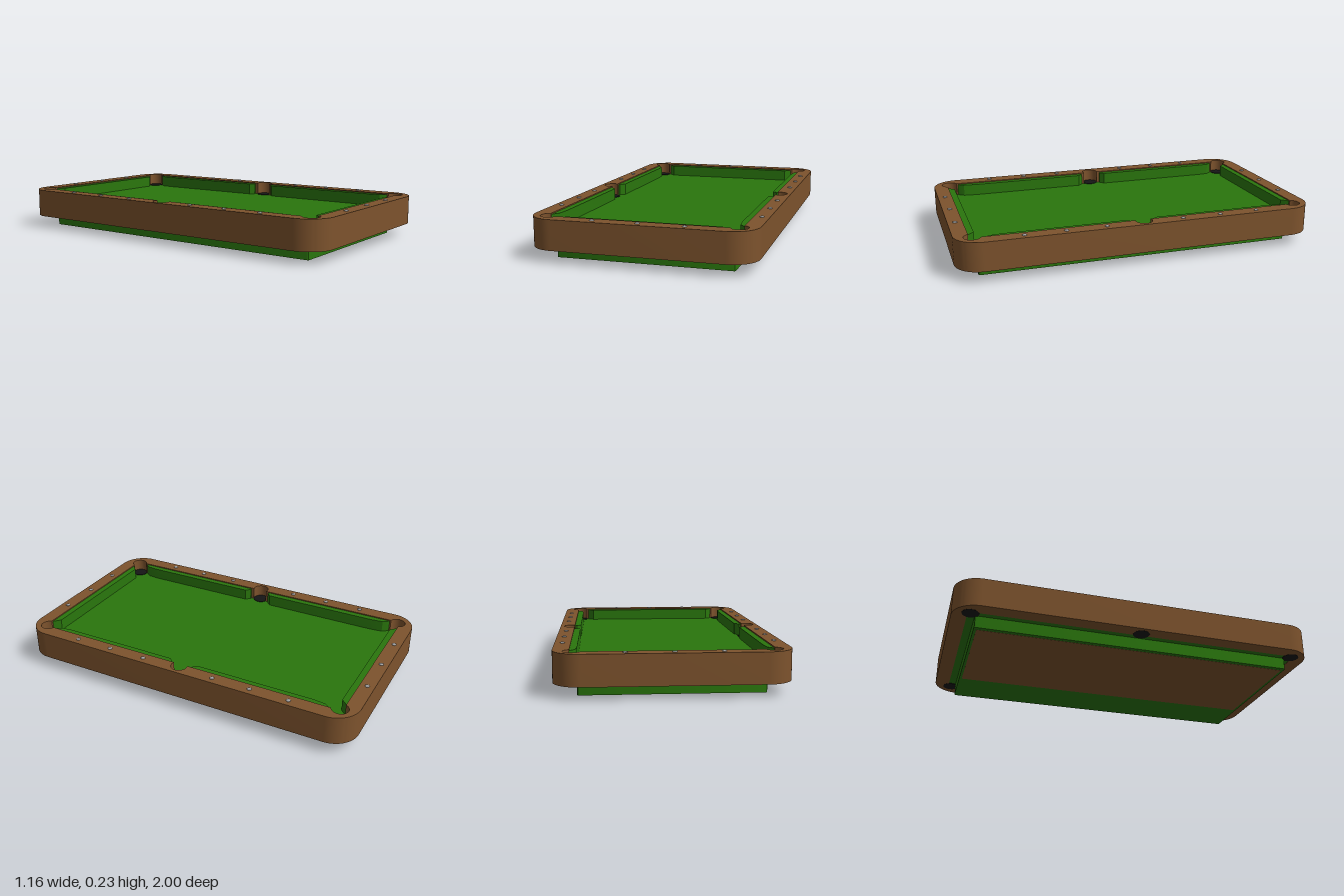
import * as THREE from 'three';
import { toCreasedNormals } from 'three/addons/utils/BufferGeometryUtils.js';

const material = (color) => new THREE.MeshStandardMaterial({ color });

export function createModel() {
  const model = new THREE.Group();
  model.name = 'poolTable';
  const wood = material(0x7d532d);
  const cloth = material(0x2a760d);
  const black = material(0x151515);
  const metal = material(0xa0a0a0);

  const add = (name, geometry, mat, x = 0, y = 0, z = 0) => {
    const mesh = new THREE.Mesh(geometry, mat);
    mesh.name = name;
    mesh.position.set(x, y, z);
    model.add(mesh);
    return mesh;
  };

  // Extrudes a plan shape (x, -z) upward between two heights
  const slab = (name, shape, mat, y0, y1) => {
    const geometry = new THREE.ExtrudeGeometry(shape, { depth: y1 - y0, bevelEnabled: false, curveSegments: 10 });
    geometry.rotateX(-Math.PI / 2);
    return add(name, toCreasedNormals(geometry, 0.5), mat, 0, y0, 0);
  };

  const roundedRect = (w, h, r) => {
    const s = new THREE.Shape();
    s.absarc(w - r, h - r, r, 0, Math.PI / 2);
    s.absarc(r - w, h - r, r, Math.PI / 2, Math.PI);
    s.absarc(r - w, r - h, r, Math.PI, Math.PI * 1.5);
    s.absarc(w - r, r - h, r, Math.PI * 1.5, Math.PI * 2);
    s.closePath();
    return s;
  };

  const innerX = 0.5, innerZ = 0.92, pocketR = 0.045;
  const corner = [0.487, 0.905], sideX = 0.517;

  // One quarter of the opening: half a side pocket, then the corner pocket
  const arc = (cx, cz, a0, a1, n) => Array.from({ length: n + 1 }, (_, i) => {
    const a = a0 + (a1 - a0) * i / n;
    return [cx + pocketR * Math.cos(a), cz + pocketR * Math.sin(a)];
  });
  const quarter = [
    ...arc(sideX, 0, 0, Math.acos((innerX - sideX) / pocketR), 8),
    ...arc(...corner, -Math.acos((innerX - corner[0]) / pocketR),
      Math.PI - Math.asin((innerZ - corner[1]) / pocketR), 16),
  ];
  const flip = (points, sx, sz) => points.map(([x, z]) => new THREE.Vector2(x * sx, z * sz));
  const opening = [
    ...flip(quarter, 1, 1),
    ...flip(quarter, -1, 1).reverse(),
    ...flip(quarter, -1, -1).slice(1),
    ...flip(quarter, 1, -1).reverse().slice(0, -1),
  ];

  // Wooden frame with rounded corners and pocket cut-outs
  const frame = roundedRect(0.582, 1, 0.14);
  frame.holes.push(new THREE.Path(opening));
  slab('frame', frame, wood, 0.065, 0.222);

  // Playing bed and the base below it
  add('bed', new THREE.BoxGeometry(innerX * 2, 0.084, innerZ * 2), cloth, 0, 0.109, 0);
  slab('base', roundedRect(0.464, 0.88, 0.01), cloth, 0.001, 0.068);
  add('undersidePanel', new THREE.BoxGeometry(0.64, 0.004, 1.73), wood, -0.12, 0.002, 0);

  // Cushions with angled ends beside each pocket
  const longCushion = [[0.501, 0.06], [0.49, 0.06], [0.465, 0.085], [0.465, 0.75], [0.472, 0.82], [0.495, 0.85], [0.501, 0.855]];
  const endCushion = [[-0.435, 0.921], [-0.43, 0.915], [-0.4, 0.885], [0.4, 0.885], [0.43, 0.915], [0.435, 0.921]];
  for (const sz of [1, -1]) {
    for (const sx of [1, -1]) {
      slab('longCushion', new THREE.Shape(flip(longCushion, sx, sz)), cloth, 0.15, 0.216);
    }
    slab('endCushion', new THREE.Shape(flip(endCushion, 1, sz)), cloth, 0.15, 0.216);
  }

  // Pockets
  const pocket = new THREE.CylinderGeometry(pocketR, pocketR, 0.09, 24);
  for (const sx of [1, -1]) {
    add('sidePocket', pocket, black, sx * sideX, 0.109, 0);
    for (const sz of [1, -1]) add('cornerPocket', pocket, black, sx * corner[0], 0.109, sz * corner[1]);
  }

  // Small sight studs along the rails
  const stud = new THREE.SphereGeometry(0.013, 10, 6);
  stud.scale(1, 0.5, 1);
  for (const s of [1, -1]) {
    for (const z of [-0.65, -0.432, -0.214, 0.214, 0.432, 0.65]) add('sightStud', stud, metal, s * 0.542, 0.222, z);
    for (const x of [-0.235, 0, 0.235]) add('sightStud', stud, metal, x, 0.222, s * 0.96);
  }
  return model;
}
